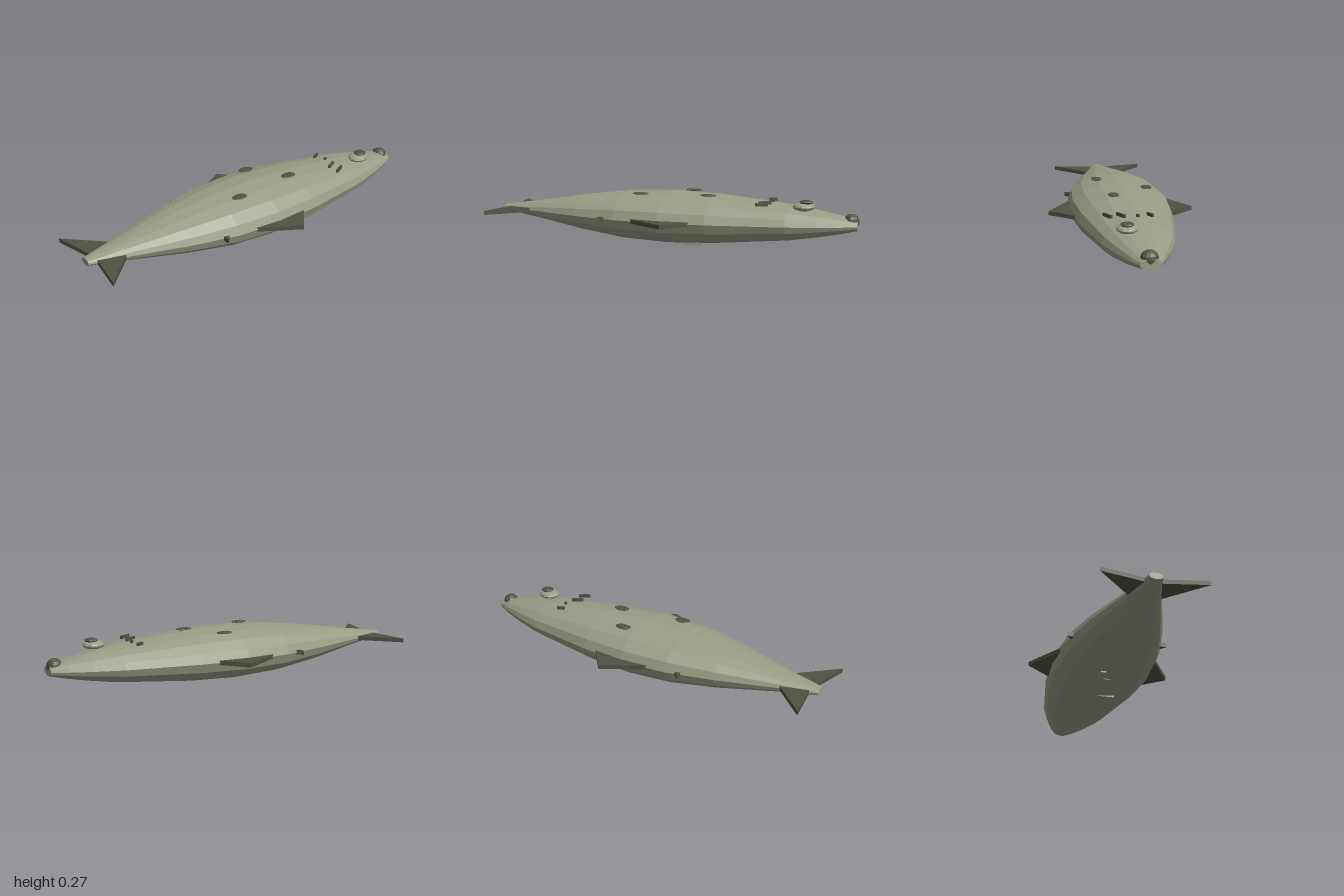
import * as THREE from 'three';

export function createModel() {
  const fish = new THREE.Group();
  fish.name = 'fish';
  const skin = new THREE.MeshStandardMaterial({ color: 0x989e85, flatShading: true });
  skin.name = 'pale olive skin';
  const dark = new THREE.MeshStandardMaterial({ color: 0x4f5343, flatShading: true });
  dark.name = 'dark olive';

  const MID = 0.14; // height of the body axis
  const add = (name, geometry, material, x, y, z) => {
    const mesh = new THREE.Mesh(geometry, material);
    mesh.name = name;
    mesh.position.set(x, y, z);
    fish.add(mesh);
    return mesh;
  };
  const ellipsoid = (name, material, x, y, z, rx, ry, rz, w = 12, h = 8) =>
    add(name, new THREE.SphereGeometry(1, w, h).scale(rx, ry, rz), material, x, y, z);

  // Body lying on its side: a lathe along x, flattened in height
  const profile = [
    [0, -1], [0.034, -1], [0.09, -0.8], [0.188, -0.5], [0.25, -0.25], [0.27, 0],
    [0.25, 0.25], [0.205, 0.5], [0.178, 0.65], [0.13, 0.8], [0.088, 0.91], [0.05, 0.99], [0, 0.99],
  ].map(([r, x]) => new THREE.Vector2(r, x));
  const body = new THREE.LatheGeometry(profile, 16).rotateZ(-Math.PI / 2).scale(1, 0.507, 1);
  add('body', body, skin, 0, MID, 0);

  // Fins: flat triangles in the horizontal plane, mirrored across z
  const fin = (name, points, side) => {
    const shape = new THREE.Shape(points.map(([x, z]) => new THREE.Vector2(x, z * side)));
    const geometry = new THREE.ExtrudeGeometry(shape, { depth: 0.022, bevelEnabled: false });
    geometry.translate(0, 0, -0.011).rotateX(Math.PI / 2);
    add(name, geometry, dark, 0, MID, 0);
  };
  for (const [side, label] of [[1, 'front'], [-1, 'back']]) {
    fin(label + 'MainFin', [[-0.18, 0.235], [0.06, 0.382], [0.185, 0.235]], side);
    fin(label + 'SmallFin', [[-0.335, 0.262], [-0.335, 0.2], [-0.28, 0.21]], side);
    fin(label + 'TailFin', [[-1, 0.262], [-0.95, 0.01], [-0.8, 0.065]], side);
  }

  // Bulging eye with its pupil, and the dark snout
  ellipsoid('eye', skin, 0.722, 0.233, 0.066, 0.057, 0.022, 0.053);
  ellipsoid('pupil', dark, 0.734, 0.257, 0.067, 0.034, 0.011, 0.033);
  ellipsoid('snout', dark, 0.955, 0.16, 0, 0.04, 0.04, 0.044);

  // Spots on the upper flank
  for (const [x, z, y] of [[0.075, -0.133, 0.267], [0.215, 0.06, 0.267], [-0.145, 0.105, 0.267]]) {
    ellipsoid('spot', dark, x, y, z, 0.044, 0.006, 0.029);
  }

  // Slanted gill slits
  for (const [x, z, length] of [[0.53, -0.077, 0.042], [0.545, -0.013, 0.015], [0.52, 0.065, 0.065], [0.52, 0.132, 0.065]]) {
    const slit = add('gillSlit', new THREE.BoxGeometry(length, 0.016, 0.012), dark, x, 0.243, z);
    slit.rotation.y = 0.5;
  }

  // Thin patches under the belly
  add('bellyPatch', new THREE.BoxGeometry(0.11, 0.014, 0.09), skin, 0.135, 0.011, 0.047);
  for (const [x, z] of [[-0.11, 0], [-0.19, -0.04]]) {
    add('bellyScale', new THREE.BoxGeometry(0.05, 0.008, 0.03), skin, x, 0.01, z);
  }
  return fish;
}
